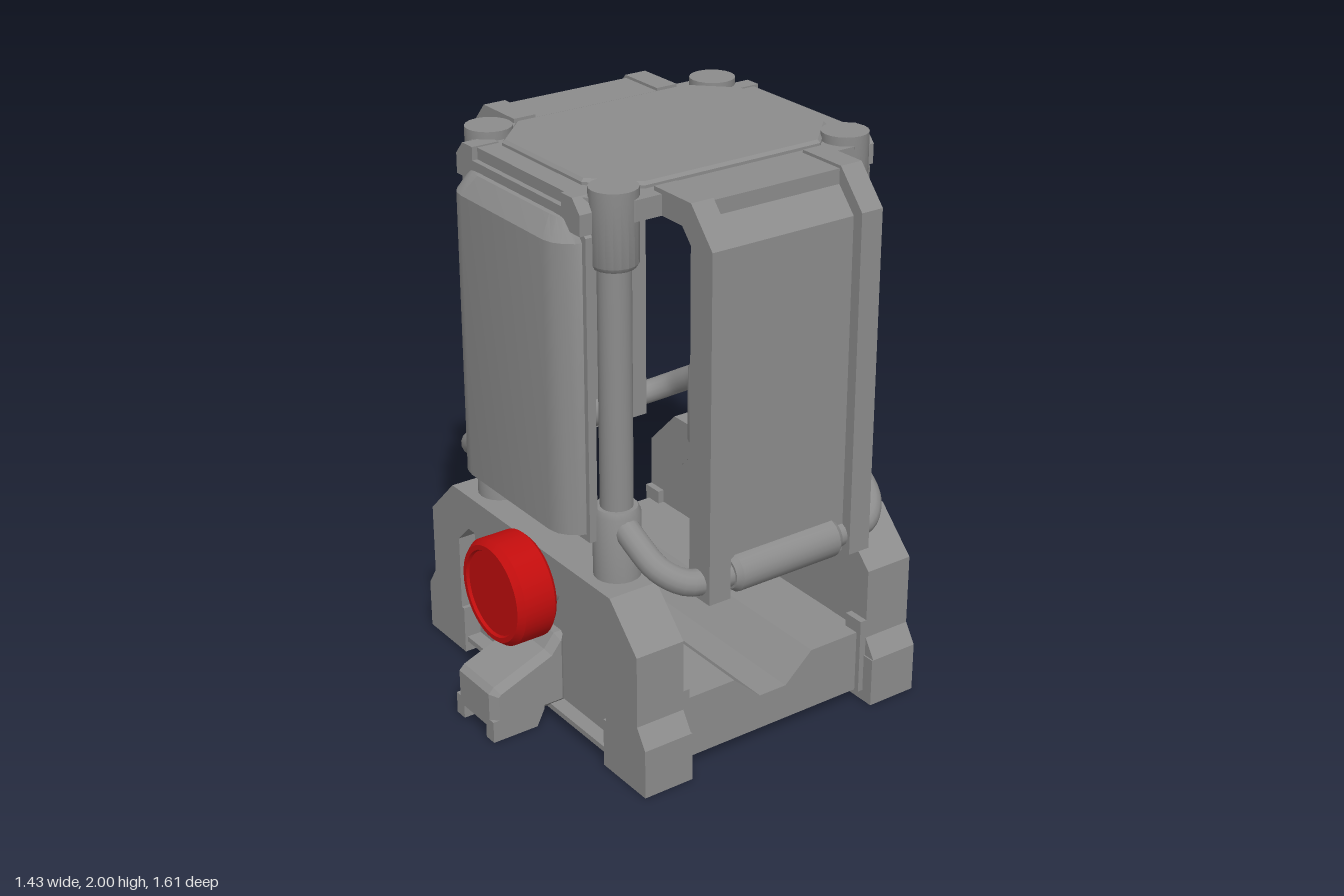
import * as THREE from 'three';
import { toCreasedNormals } from 'three/addons/utils/BufferGeometryUtils.js';

const grey = new THREE.MeshStandardMaterial({ color: 0x8c8c8c, side: THREE.DoubleSide });
grey.name = 'grey';
const red = new THREE.MeshStandardMaterial({ color: 0xc20d0d });
red.name = 'red';

function add(parent, name, geometry, material = grey) {
  const mesh = new THREE.Mesh(geometry, material);
  mesh.name = name;
  parent.add(mesh);
  return mesh;
}

function group(parent, name) {
  const g = new THREE.Group();
  g.name = name;
  parent.add(g);
  return g;
}

const shapeOf = (pts) => new THREE.Shape(pts.map(([x, y]) => new THREE.Vector2(x, y)));

// Closes a right-hand outline with its mirror image
const mirrored = (pts) => [...pts, ...pts.slice().reverse().map(([x, y]) => [-x, y])];

// Outline in x-y, extruded from z0 to z1, with an optional inward bevel
function prism(pts, z0, z1, bevel = 0) {
  return new THREE.ExtrudeGeometry(shapeOf(pts), {
    depth: z1 - z0 - 2 * bevel, bevelEnabled: bevel > 0, bevelSegments: 1,
    bevelSize: bevel, bevelThickness: bevel, bevelOffset: -bevel,
  }).translate(0, 0, z0 + bevel);
}

// Outline in z-y, extruded across x
const crossPrism = (pts, halfWidth, bevel = 0) =>
  prism(pts.map(([z, y]) => [-z, y]), -halfWidth, halfWidth, bevel).rotateY(Math.PI / 2);

// Outline in x-z, extruded from y0 to y1
const slab = (pts, y0, y1, bevel = 0) => prism(pts, y0, y1, bevel).rotateX(-Math.PI / 2);

const octagon = (x, z, cx, cz) => mirrored([[x - cx, -z], [x, -z + cz], [x, z - cz], [x - cx, z]]);

function box(x0, x1, y0, y1, z0, z1) {
  return new THREE.BoxGeometry(x1 - x0, y1 - y0, z1 - z0)
    .translate((x0 + x1) / 2, (y0 + y1) / 2, (z0 + z1) / 2);
}

const lathe = (pts, segments = 32) => toCreasedNormals(
  new THREE.LatheGeometry(pts.map(([r, y]) => new THREE.Vector2(r, y)), segments), 0.6);

// Bulging cover: one curved cross-section carried upward and tapered at the top
function coverGeometry() {
  const section = [[0.345, 0], [0.335, 0.035], [0.31, 0.066], [0.28, 0.087], [0.24, 0.095]];
  const full = [...section.map(([x, z]) => [-x, z]), ...section.slice().reverse()];
  const rings = [[0.825, 1, 0], [0.825, 1, 1], [1.83, 1, 1], [1.895, 0.88, 0.5], [1.91, 0.85, 0]];
  const position = [], index = [], n = full.length;
  rings.forEach(([y, sx, sz], r) => full.forEach(([x, z], i) => {
    position.push(x * sx, y, 0.545 + z * sz);
    if (r < rings.length - 1 && i < n - 1) {
      const a = r * n + i;
      index.push(a, a + 1, a + n, a + 1, a + n + 1, a + n);
    }
  }));
  const g = new THREE.BufferGeometry();
  g.setAttribute('position', new THREE.Float32BufferAttribute(position, 3));
  g.setIndex(index);
  return toCreasedNormals(g, 0.6);
}

// Front end: base wall, foot, knob and body cover
function buildEnd(parent, name) {
  const end = group(parent, name);

  // Base wall with a chamfered recess
  add(end, 'wallFrame', prism(mirrored([
    [0.46, 0], [0.685, 0], [0.685, 0.18], [0.64, 0.25], [0.64, 0.51], [0.49, 0.66],
  ]).slice(0, 6).concat(
    [[-0.49, 0.66], [-0.64, 0.51], [-0.64, 0.25], [-0.685, 0.18], [-0.685, 0], [-0.46, 0]],
    [[-0.46, 0.46], [-0.39, 0.53], [0.39, 0.53], [0.46, 0.46]]), 0.39, 0.575));
  add(end, 'recessPanel', prism(mirrored([[0.47, 0.04], [0.47, 0.47], [0.4, 0.54]]), 0.391, 0.51));
  add(end, 'wallSill', box(-0.46, 0.46, 0.04, 0.06, 0.5, 0.565));
  for (const s of [-1, 1]) {
    add(end, 'cornerBlock', box(s * 0.6 - 0.04, s * 0.6 + 0.04, 0.04, 0.32, 0.365, 0.45));
    add(end, 'cornerFoot', box(s * 0.565 - 0.12, s * 0.565 + 0.12, 0, 0.18, 0.385, 0.575));
  }

  // Projecting foot
  add(end, 'footArm', crossPrism([
    [0.5, 0.05], [0.805, 0.05], [0.805, 0.18], [0.785, 0.2], [0.58, 0.28], [0.54, 0.33], [0.5, 0.33],
  ], 0.12, 0.025));
  for (const s of [-1, 1]) {
    add(end, 'footToe', crossPrism([
      [0.6, 0.06], [0.63, 0], [0.805, 0], [0.805, 0.08], [0.6, 0.08],
    ], 0.024)).position.x = s * 0.096;
  }

  // Round knob with raised arcs in a shallow dish
  const knob = group(end, 'knob');
  knob.position.set(0, 0.5, 0.575);
  add(knob, 'knobHub', new THREE.CylinderGeometry(0.1, 0.1, 0.1, 24).rotateX(Math.PI / 2))
    .position.z = -0.04;
  add(knob, 'knobBody', lathe([
    [0, 0], [0.175, 0], [0.19, 0.015], [0.19, 0.13], [0.172, 0.153], [0.155, 0.153], [0.15, 0.143], [0, 0.143],
  ], 40).rotateX(Math.PI / 2), red);
  for (let i = 0; i < 3; i++) {
    add(knob, 'knobArc', new THREE.RingGeometry(0.115, 0.135, 20, 1, 0.5 + i * Math.PI * 2 / 3, 1.5), red)
      .position.z = 0.149;
  }

  // Body cover on its frame
  add(end, 'coverFrame', prism(mirrored([
    [0.36, 0.8], [0.36, 1.85], [0.285, 1.925],
  ]), 0.53, 0.56));
  add(end, 'cover', coverGeometry());
  add(end, 'coverHood', prism(mirrored([
    [0.36, 1.86], [0.36, 1.93], [0.32, 1.975], [0.26, 1.975], [0.26, 1.93], [0.29, 1.93],
  ]), 0.48, 0.58));
  return end;
}

// Side: ribs, panel and lower pipe handle
function buildSide(parent, name) {
  const side = group(parent, name);
  const rib = [
    [0.59, 0.65], [0.7, 0.65], [0.7, 1.86], [0.59, 1.985], [0.4, 1.985], [0.4, 1.9], [0.545, 1.9], [0.59, 1.85],
  ];
  for (const s of [-1, 1]) add(side, 'rib', prism(rib, s * 0.29 - 0.042, s * 0.29 + 0.042));
  add(side, 'sidePanel', prism([
    [0.6, 0.65], [0.66, 0.65], [0.66, 1.84], [0.575, 1.935], [0.4, 1.935], [0.4, 1.905], [0.55, 1.905], [0.6, 1.85],
  ], -0.25, 0.25));
  add(side, 'roofArm', box(0.4, 0.585, 1.9, 1.975, -0.25, 0.25));

  // Pipe bends out of both posts and runs along the side
  const half = [[0.36, 0.875, 0.455], [0.47, 0.815, 0.455], [0.57, 0.755, 0.435], [0.63, 0.717, 0.37], [0.643, 0.71, 0.27]];
  const path = [...half, ...half.slice().reverse().map(([x, y, z]) => [x, y, -z])];
  const curve = new THREE.CatmullRomCurve3(path.map((p) => new THREE.Vector3(...p)));
  add(side, 'pipe', new THREE.TubeGeometry(curve, 60, 0.045, 14));
  add(side, 'pipeGrip', lathe([
    [0, -0.22], [0.055, -0.22], [0.07, -0.2], [0.07, 0.2], [0.055, 0.22], [0, 0.22],
  ], 20).rotateX(Math.PI / 2)).position.set(0.643, 0.71, 0);
  return side;
}

export function createModel() {
  const model = new THREE.Group();
  model.name = 'machine';

  // Base floor with a notch through both sides
  add(model, 'baseFloor', crossPrism(mirrored([
    [0.4, 0.04], [0.4, 0.27], [0.165, 0.27], [0.055, 0.17],
  ]), 0.62));

  // Matching ends and sides
  buildEnd(model, 'frontEnd');
  buildEnd(model, 'backEnd').rotation.y = Math.PI;
  buildSide(model, 'leftSide');
  buildSide(model, 'rightSide').rotation.y = Math.PI;

  // Corner posts with thick sleeves at both ends
  for (const x of [-0.36, 0.36]) {
    for (const z of [-0.455, 0.455]) {
      add(model, 'post', lathe([
        [0, 0.6], [0.08, 0.6], [0.08, 0.89], [0.07, 0.91], [0.055, 0.91], [0.055, 1.76],
        [0.07, 1.74], [0.08, 1.755], [0.08, 2], [0, 2],
      ], 20)).position.set(x, 0, z);
    }
  }

  // Roof with a raised centre plate
  add(model, 'roof', slab(octagon(0.44, 0.56, 0.13, 0.13), 1.9, 1.97));
  add(model, 'roofPlate', slab(octagon(0.37, 0.485, 0.14, 0.14), 1.96, 1.99, 0.01));
  return model;
}
